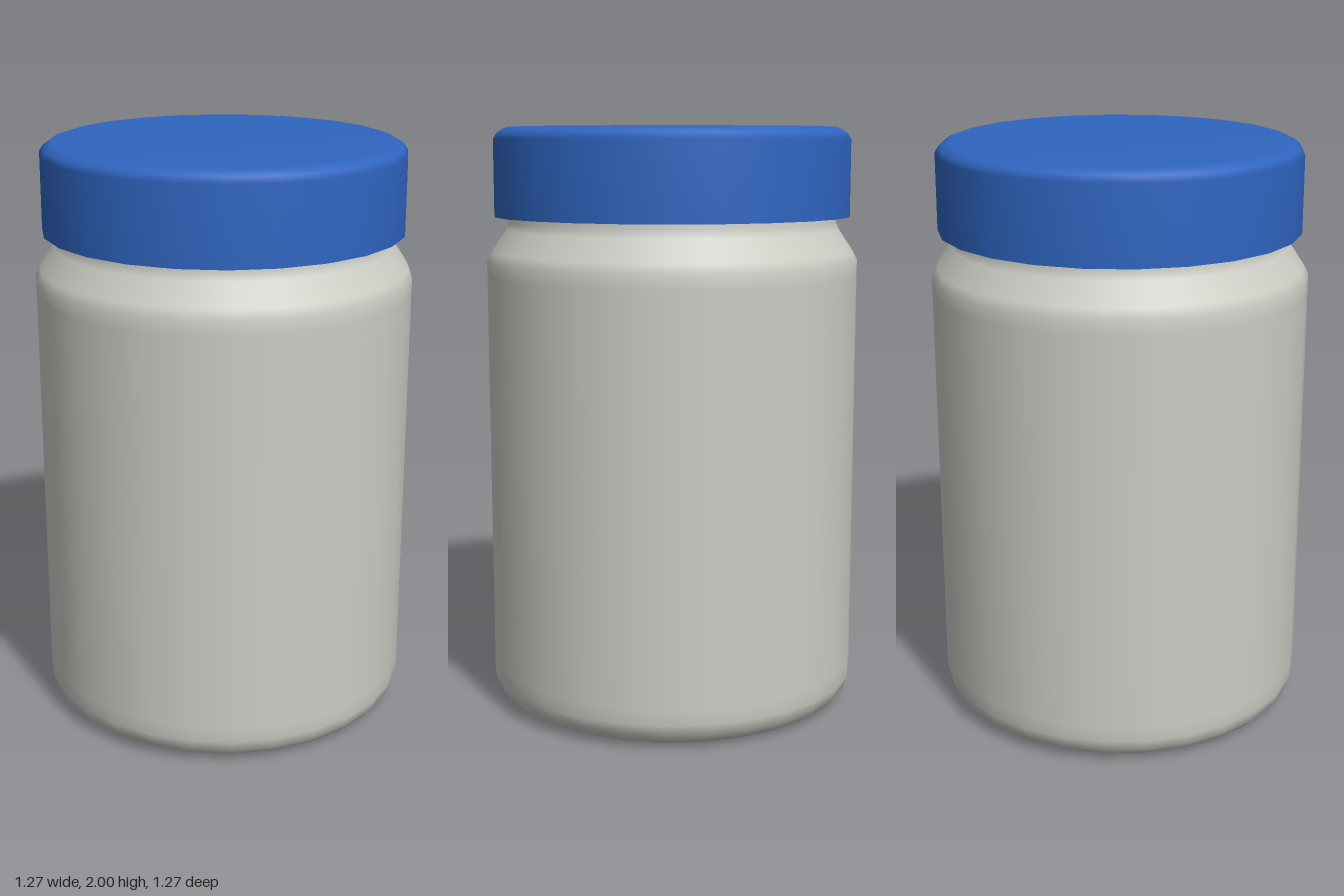
import * as THREE from 'three';

// Smooth turned part: profile of [radius, y] from bottom to top
function turned(name, profile, sides, offsetDeg, material) {
  const points = profile.map(([r, y]) => new THREE.Vector2(r, y));
  const geometry = new THREE.LatheGeometry(points, sides, THREE.MathUtils.degToRad(offsetDeg));
  const mesh = new THREE.Mesh(geometry, material);
  mesh.name = name;
  return mesh;
}

export function createModel() {
  const jar = new THREE.Group();
  jar.name = 'jar';

  const plastic = new THREE.MeshStandardMaterial({ color: 0xcdcdc6 });
  plastic.name = 'pale grey plastic';
  const blue = new THREE.MeshStandardMaterial({ color: 0x2f65c0 });
  blue.name = 'blue plastic';

  // Container: rounded foot, straight wall, sloped shoulder and neck
  jar.add(turned('body', [
    [0, 0], [0.54, 0], [0.575, 0.007], [0.605, 0.025], [0.63, 0.055], [0.64, 0.09],
    [0.64, 0.14], [0.64, 1.5], [0.64, 1.55], [0.625, 1.58], [0.575, 1.655],
    [0.565, 1.68], [0.565, 1.72],
  ], 28, 180 / 28, plastic));

  // Screw lid: straight skirt with a bevelled top edge
  const lidSides = 24, lidTurn = 11;
  jar.add(turned('lid', [
    [0.615, 1.7], [0.615, 1.96], [0.603, 1.98], [0.585, 1.993], [0.565, 2], [0, 2],
  ], lidSides, lidTurn, blue));

  // Flat underside of the lid, around the neck
  jar.add(turned('lidUnderside', [[0.5, 1.7], [0.615, 1.7]], lidSides, lidTurn, blue));

  return jar;
}
